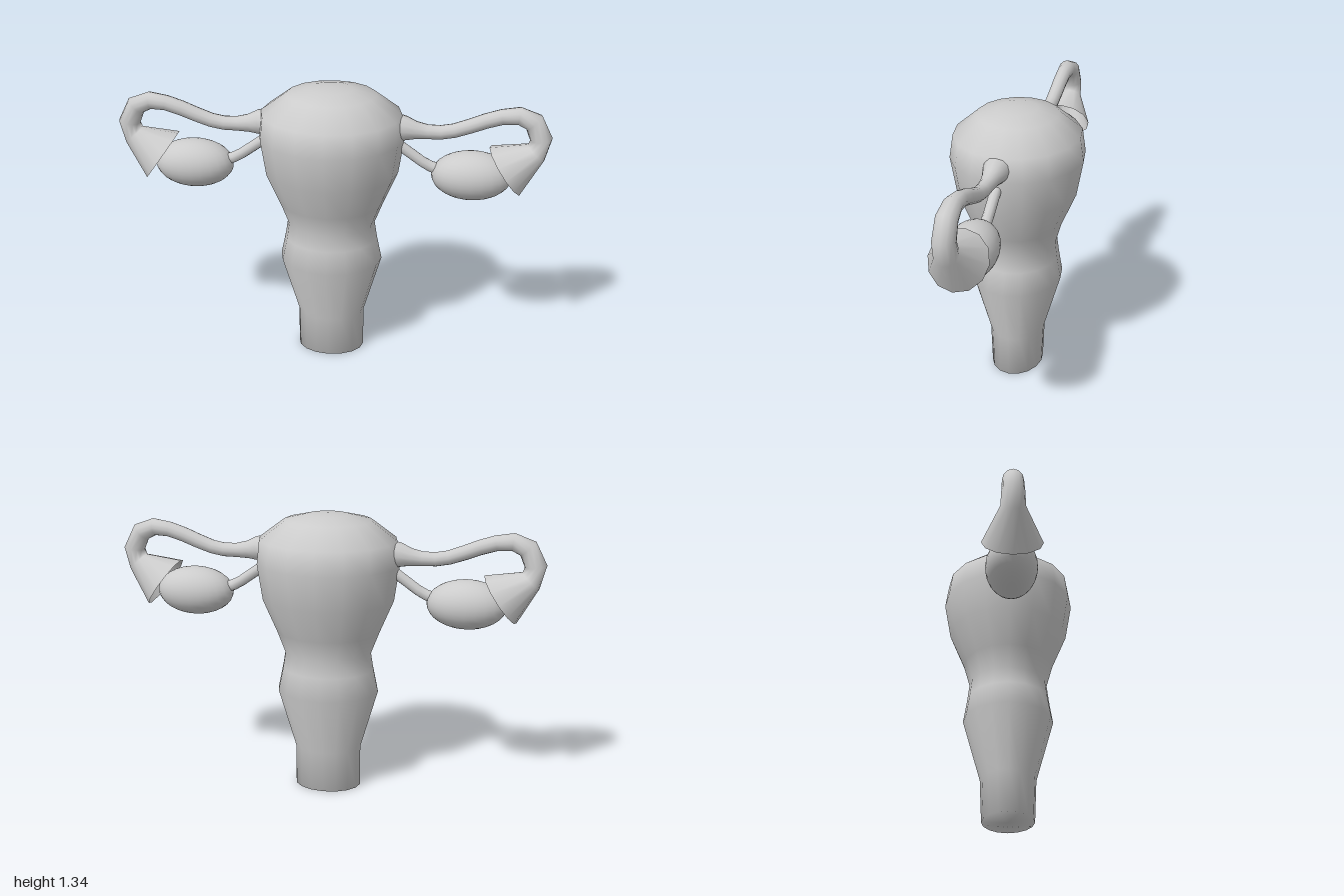
import * as THREE from 'three';
import { mergeVertices } from 'three/addons/utils/BufferGeometryUtils.js';

const material = new THREE.MeshStandardMaterial({ color: 0xcccccc });
const openMaterial = new THREE.MeshStandardMaterial({ color: 0xcccccc, side: THREE.DoubleSide });

function addMesh(parent, name, geometry, mat = material) {
  const mesh = new THREE.Mesh(geometry, mat);
  mesh.name = name;
  parent.add(mesh);
  return mesh;
}

// Joins elliptical rings [y, half width, half depth] into a smooth closed body
function ellipticalBody(rings, sides) {
  const g = new THREE.LatheGeometry(rings.map(([y, rx]) => new THREE.Vector2(rx, y)), sides);
  const pos = g.attributes.position;
  for (let i = 0; i < pos.count; i++) {
    const [, rx, rz] = rings[i % rings.length];
    if (rx > 0) pos.setZ(i, pos.getZ(i) * rz / rx);
  }
  g.deleteAttribute('uv');
  g.deleteAttribute('normal');
  const merged = mergeVertices(g, 1e-4);
  merged.computeVertexNormals();
  return merged;
}

// Tube of changing radius along a path in the xy plane: rings are [x, y, radius]
function taperedTube(rings, side, sides = 12) {
  const pts = rings.map(([x, y]) => new THREE.Vector2(x * side, y));
  const positions = [], index = [];
  rings.forEach(([, , r], i) => {
    const before = pts[Math.max(i - 1, 0)];
    const after = pts[Math.min(i + 1, pts.length - 1)];
    const t = after.clone().sub(before).normalize();
    for (let j = 0; j < sides; j++) {
      const a = j / sides * Math.PI * 2;
      const c = r * Math.cos(a);
      positions.push(pts[i].x - t.y * c, pts[i].y + t.x * c, r * Math.sin(a));
      if (i === rings.length - 1) continue;
      const p = i * sides + j, q = i * sides + (j + 1) % sides;
      index.push(p, q, q + sides, p, q + sides, p + sides);
    }
  });
  const g = new THREE.BufferGeometry();
  g.setAttribute('position', new THREE.Float32BufferAttribute(positions, 3));
  g.setIndex(index);
  g.computeVertexNormals();
  return g;
}

export function createModel() {
  const model = new THREE.Group();
  model.name = 'uterus';

  // Central body: lower canal, bulging neck, wide upper body and domed top
  addMesh(model, 'body', ellipticalBody([
    [0, 0, 0], [0, 0.16, 0.122], [0.2, 0.16, 0.13], [0.49, 0.243, 0.212],
    [0.6, 0.22, 0.194], [0.68, 0.207, 0.184], [0.78, 0.245, 0.212],
    [0.94, 0.312, 0.28], [1.11, 0.337, 0.31], [1.22, 0.325, 0.293],
    [1.31, 0.205, 0.187], [1.335, 0.1, 0.09], [1.342, 0, 0],
  ], 16));

  for (const side of [1, -1]) {
    const group = new THREE.Group();
    group.name = side > 0 ? 'leftSide' : 'rightSide';
    model.add(group);

    // Tube leaving the body, curling over and ending in an open funnel
    addMesh(group, 'tubeAndFunnel', taperedTube([
      [0.28, 1.165, 0.065], [0.335, 1.16, 0.058], [0.385, 1.152, 0.042],
      [0.44, 1.147, 0.034], [0.5, 1.147, 0.033], [0.56, 1.158, 0.033],
      [0.63, 1.183, 0.034], [0.7, 1.211, 0.035], [0.77, 1.233, 0.036],
      [0.845, 1.242, 0.041], [0.912, 1.215, 0.047], [0.95, 1.135, 0.05],
      [0.932, 1.07, 0.054], [0.8, 0.975, 0.133],
    ], side), openMaterial);

    // Egg-shaped ovary, partly inside the funnel
    const ovary = new THREE.SphereGeometry(1, 24, 16);
    ovary.scale(0.185, 0.115, 0.115);
    addMesh(group, 'ovary', ovary).position.set(0.648 * side, 0.943, 0);

    // Ligament from body to ovary
    addMesh(group, 'ligament', taperedTube([
      [0.28, 1.1, 0.025], [0.35, 1.05, 0.025], [0.42, 1.0, 0.025],
      [0.46, 0.978, 0.026], [0.53, 0.955, 0.03],
    ], side, 10), openMaterial);
  }
  return model;
}
